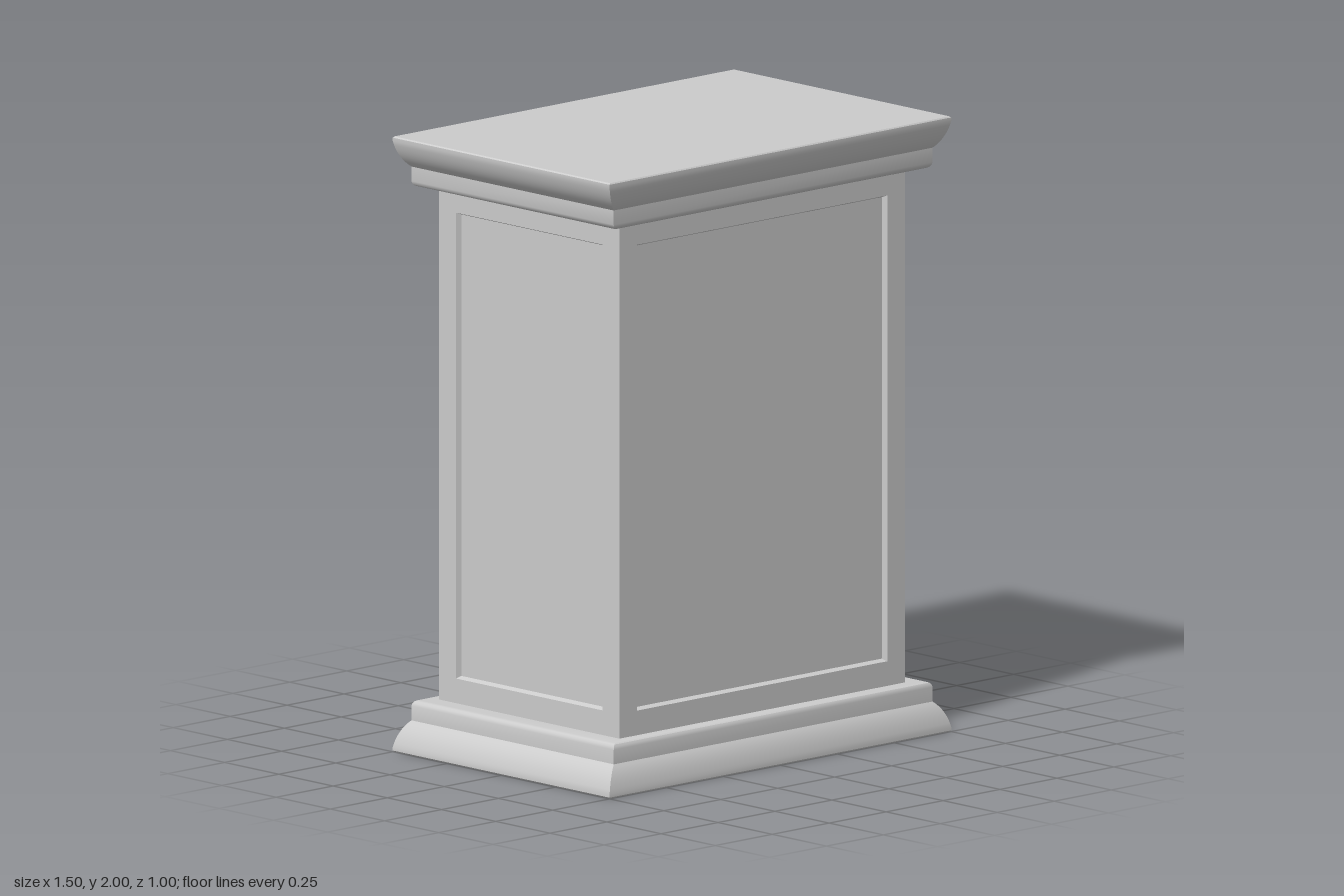
import * as THREE from 'three';
import { toCreasedNormals } from 'three/addons/utils/BufferGeometryUtils.js';

const material = new THREE.MeshStandardMaterial({ color: 0xcccccc });

// Lofts rectangles [halfX, halfY, z] along +z and closes both ends (back end optional)
function loftRects(rings, closeBack = true) {
  const pos = [], index = [];
  for (const [x, y, z] of rings) pos.push(-x, -y, z, x, -y, z, x, y, z, -x, y, z);
  for (let r = 0; r < rings.length - 1; r++) {
    for (let i = 0; i < 4; i++) {
      const a = r * 4 + i, b = r * 4 + (i + 1) % 4;
      index.push(a, b, b + 4, a, b + 4, a + 4);
    }
  }
  const t = (rings.length - 1) * 4;
  index.push(t, t + 1, t + 2, t, t + 2, t + 3);
  if (closeBack) index.push(0, 2, 1, 0, 3, 2);
  const geo = new THREE.BufferGeometry();
  geo.setAttribute('position', new THREE.Float32BufferAttribute(pos, 3));
  geo.setIndex(index);
  return toCreasedNormals(geo, 0.5);
}

function addMesh(parent, name, geo) {
  const mesh = new THREE.Mesh(geo, material);
  mesh.name = name;
  parent.add(mesh);
  return mesh;
}

export function createModel() {
  const group = new THREE.Group();
  group.name = 'cabinet';

  // Moulding profile: [half width, height], ovolo below a rounded step
  const ovolo = new THREE.QuadraticBezierCurve(
    new THREE.Vector2(0.75, 0.015), new THREE.Vector2(0.737, 0.07), new THREE.Vector2(0.7, 0.1));
  const profile = [
    [0.745, 0], [0.75, 0.004],
    ...ovolo.getPoints(8).map(p => [p.x, p.y]),
    [0.7, 0.147], [0.697, 0.156], [0.691, 0.162], [0.682, 0.165], [0.6, 0.165],
  ];
  const mouldingRings = pts => pts.map(([w, h]) => [w, w * 2 / 3, h]);
  const crownProfile = profile.map(([w, h]) => [w, 2 - h]).reverse();
  addMesh(group, 'baseMoulding', loftRects(mouldingRings(profile)).rotateX(-Math.PI / 2));
  addMesh(group, 'crownMoulding', loftRects(mouldingRings(crownProfile)).rotateX(-Math.PI / 2));

  // Body: four framed walls with recessed panels
  const W = 0.627, D = 0.416, frame = 0.078;
  const walls = [
    ['frontPanel', W, D, 0], ['leftPanel', D, W, Math.PI / 2],
    ['backPanel', W, D, Math.PI], ['rightPanel', D, W, -Math.PI / 2],
  ];
  for (const [name, half, offset, turn] of walls) {
    const p = half - frame;
    const wall = addMesh(group, name, loftRects([
      [half, 0.85, 0], [p, 0.757, 0], [p - 0.007, 0.75, -0.018],
    ], false).translate(0, 0, offset).rotateY(turn));
    wall.position.y = 1.002;
  }

  // Pair of doors with rounded edges and knobs, on the back
  const doorRings = [[0.239, 0.71, -0.03], [0.239, 0.71, 0]];
  for (let i = 1; i <= 5; i++) {
    const a = i / 5 * Math.PI / 2, inset = 0.017 * (1 - Math.cos(a));
    doorRings.push([0.239 - inset, 0.71 - inset, 0.017 * Math.sin(a)]);
  }
  const knobProfile = [new THREE.Vector2(0.02, 0), new THREE.Vector2(0.018, 0.022)];
  for (let i = 0; i <= 12; i++) {
    const a = -0.9 + i / 12 * (Math.PI / 2 + 0.9);
    knobProfile.push(new THREE.Vector2(Math.max(0, 0.03 * Math.cos(a)), 0.038 + 0.028 * Math.sin(a)));
  }
  for (const side of [1, -1]) {
    const label = side > 0 ? 'left' : 'right';
    const door = addMesh(group, label + 'Door', loftRects(doorRings).rotateY(Math.PI));
    door.position.set(side * 0.277, 1, -0.416);
    const knob = addMesh(group, label + 'Knob', new THREE.LatheGeometry(knobProfile, 24).rotateX(-Math.PI / 2));
    knob.position.set(side * 0.11, 1.06, -0.432);
  }
  return group;
}
